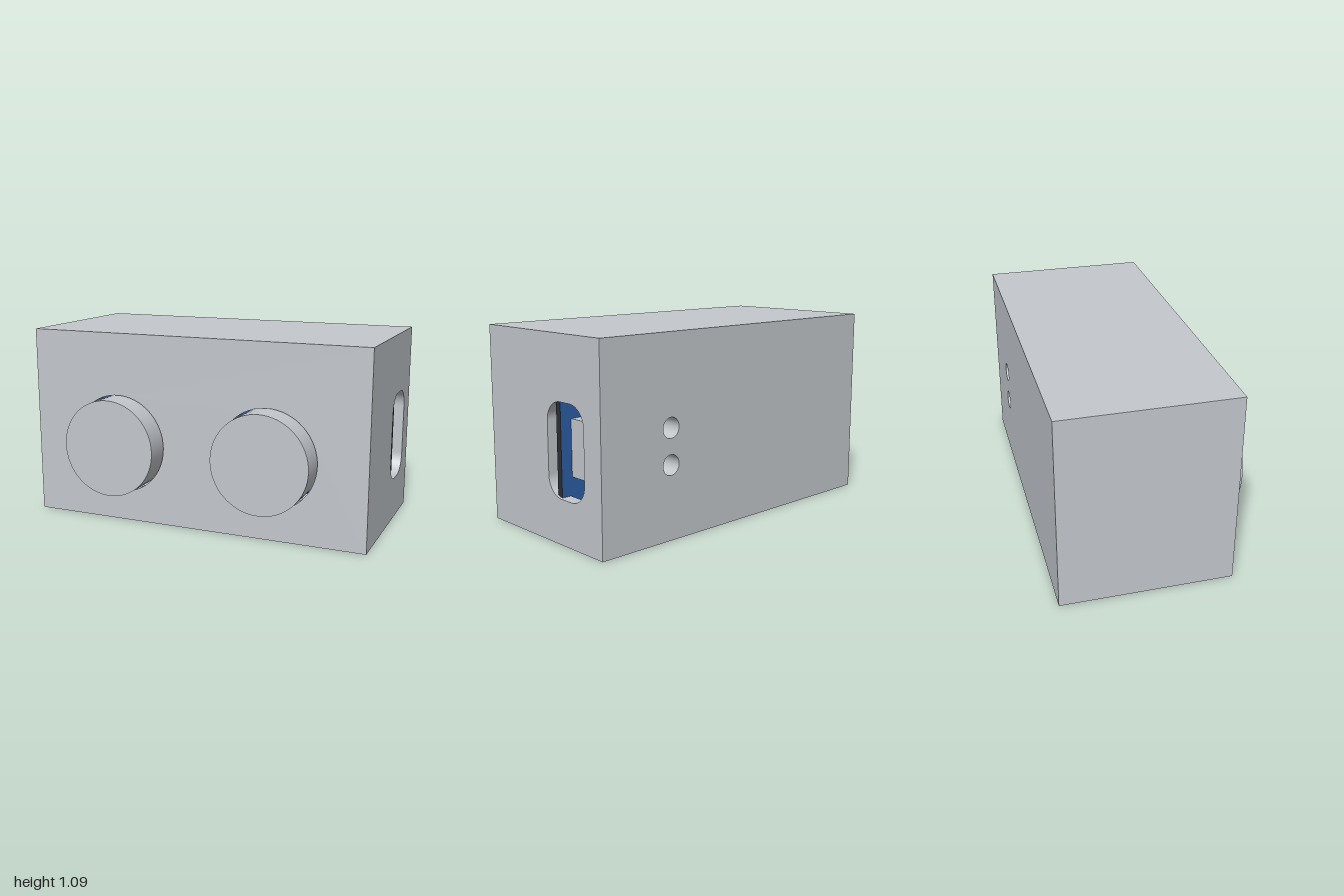
import * as THREE from 'three';

const H = 1.09, ZF = 0.41, ZB = -0.54, T = 0.07; // case height, front, back, wall thickness

export function createModel() {
  const model = new THREE.Group();
  const mat = (name, color) => {
    const m = new THREE.MeshStandardMaterial({ color });
    m.name = name;
    return m;
  };
  const grey = mat('case grey', 0xc4c8cd);
  const blue = mat('board blue', 0x2b5fa8);
  const dark = mat('board edge dark', 0x2c2f34);

  const add = (name, geometry, material, x = 0, y = 0, z = 0) => {
    const mesh = new THREE.Mesh(geometry, material);
    mesh.name = name;
    mesh.position.set(x, y, z);
    model.add(mesh);
    return mesh;
  };
  // Box given by its minimum and maximum corners
  const block = (name, a, b, material) => add(name,
    new THREE.BoxGeometry(b[0] - a[0], b[1] - a[1], b[2] - a[2]), material,
    (a[0] + b[0]) / 2, (a[1] + b[1]) / 2, (a[2] + b[2]) / 2);
  const rect = (x0, y0, x1, y1) => new THREE.Shape([
    new THREE.Vector2(x0, y0), new THREE.Vector2(x1, y0),
    new THREE.Vector2(x1, y1), new THREE.Vector2(x0, y1)]);
  const circle = (x, y, r) => new THREE.Path().absarc(x, y, r, 0, Math.PI * 2, true);
  const panel = (shape) => new THREE.ExtrudeGeometry(shape,
    { depth: T, bevelEnabled: false, curveSegments: 32 });
  // Round bar along z
  const bar = (name, x, y, r, z0, z1) => {
    const g = new THREE.CylinderGeometry(r, r, z1 - z0, 64).rotateX(Math.PI / 2);
    add(name, g, grey, x, y, (z0 + z1) / 2);
  };

  // Front panel with two round openings
  const eyes = [-0.462, 0.44], eyeY = 0.452;
  const front = rect(-1, 0, 1, H);
  eyes.forEach((x) => front.holes.push(circle(x, eyeY, 0.283)));
  add('frontPanel', panel(front), grey, 0, 0, ZF - T);

  // Back panel with two small openings
  const portX = 0.545, ports = [0.405, 0.6];
  const back = rect(-1, 0, 1, H);
  ports.forEach((y) => back.holes.push(circle(portX, y, 0.055)));
  add('backPanel', panel(back), grey, 0, 0, ZB);

  // Plain walls
  const zi0 = ZB + T, zi1 = ZF - T;
  block('topPanel', [-1, H - T, zi0], [1, H, zi1], grey);
  block('bottomPanel', [-1, 0, zi0], [1, T, zi1], grey);
  block('rightPanel', [-1, T, zi0], [-1 + T, H - T, zi1], grey);

  // Left wall with a rounded slot; the shape's x axis becomes -z
  const side = rect(-zi1, T, -zi0, H - T);
  const slot = new THREE.Path();
  const r = 0.11, u0 = 0.107, u1 = 0.407, v0 = 0.245, v1 = 0.748;
  slot.absarc(u1 - r, v1 - r, r, Math.PI / 2, 0, true);
  slot.absarc(u1 - r, v0 + r, r, 0, -Math.PI / 2, true);
  slot.absarc(u0 + r, v0 + r, r, -Math.PI / 2, -Math.PI, true);
  slot.absarc(u0 + r, v1 - r, r, Math.PI, Math.PI / 2, true);
  slot.closePath();
  side.holes.push(slot);
  add('leftPanel', panel(side).rotateY(Math.PI / 2), grey, 1 - T);

  // Circuit board: blue faces, dark edges
  block('circuitBoard', [-0.93, 0.1, -0.2], [0.985, 0.99, -0.165],
    [dark, dark, dark, dark, blue, blue]);
  block('connector', [0.6, 0.345, -0.315], [0.92, 0.65, -0.2], grey);
  block('connectorBase', [0.4, 0.335, -0.253], [0.6, 0.675, -0.2], grey);

  // Round transducers through the front openings
  eyes.forEach((x) => bar('transducer', x, eyeY, 0.276, -0.165, 0.54));

  // Sleeves behind the small openings, closed at the inner end
  const profile = [[0, 0.22], [0.078, 0.22], [0.078, 0.07], [0.055, 0.07], [0.055, 0.2], [0, 0.2]]
    .map(([a, b]) => new THREE.Vector2(a, b)).reverse();
  // One lathe per straight run keeps the edges crisp
  ports.forEach((y) => {
    for (let i = 0; i < profile.length - 1; i++) {
      const g = new THREE.LatheGeometry([profile[i], profile[i + 1]], 48).rotateX(Math.PI / 2);
      const m = grey.side === THREE.DoubleSide ? grey : sleeveMaterial(grey);
      add('portSleeve', g, m, portX, y, ZB);
    }
  });
  return model;
}

// The sleeves are thin surfaces, so the case material shows both sides
function sleeveMaterial(material) {
  material.side = THREE.DoubleSide;
  return material;
}
